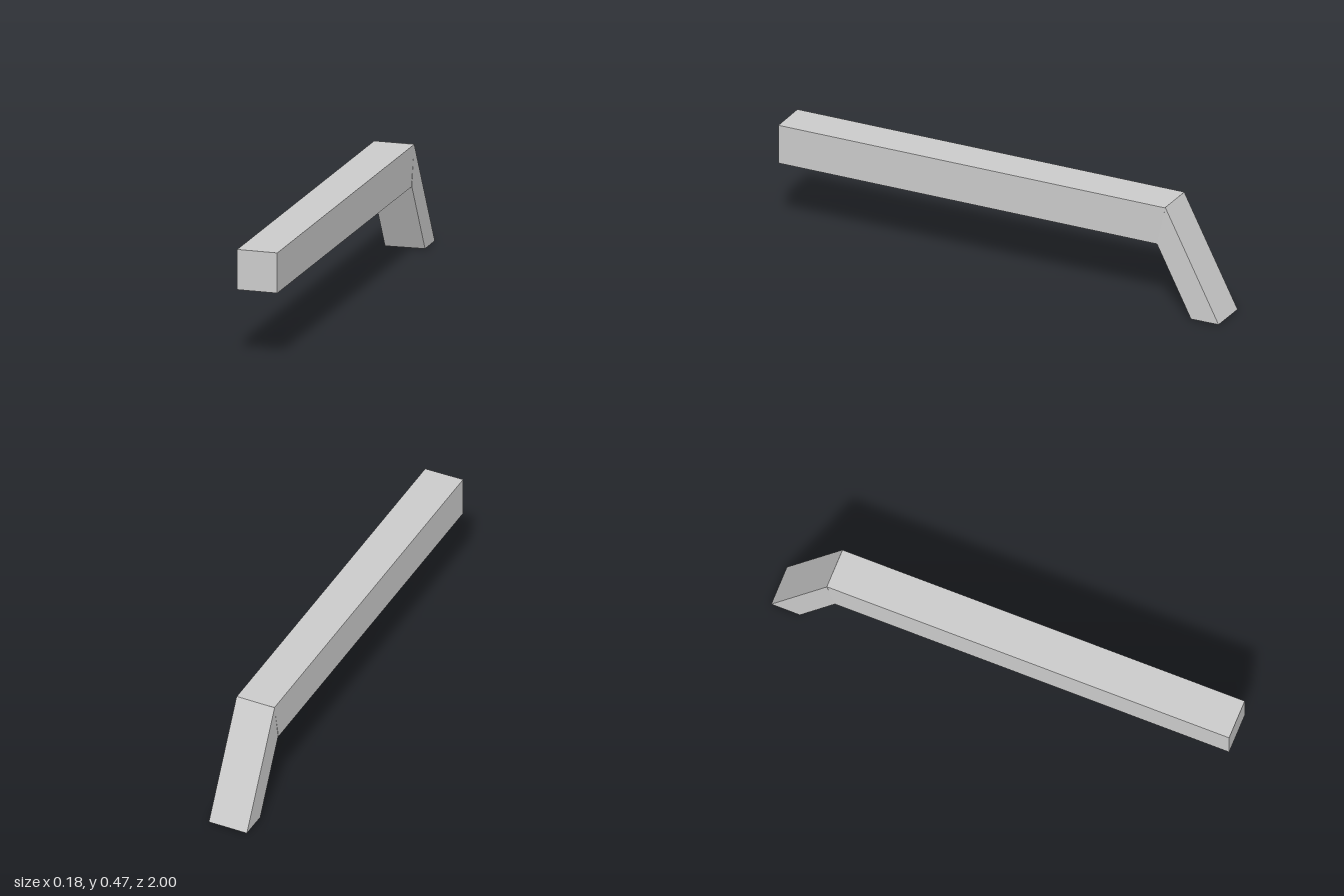
import * as THREE from 'three';

const WIDTH = 0.171;

// Solid bar from a side profile of [z, y] corners, extruded across x and centred.
function bar(name, profile, material) {
  const shape = new THREE.Shape(profile.map(([z, y]) => new THREE.Vector2(z, y)));
  const geometry = new THREE.ExtrudeGeometry(shape, { depth: WIDTH, bevelEnabled: false });
  geometry.translate(0, 0, -WIDTH / 2);
  geometry.rotateY(-Math.PI / 2);
  const mesh = new THREE.Mesh(geometry, material);
  mesh.name = name;
  return mesh;
}

export function createModel() {
  const model = new THREE.Group();
  model.name = 'bentBar';
  const material = new THREE.MeshStandardMaterial({ color: 0xcccccc, flatShading: true });

  // Long level beam, mitred at the back
  const beam = bar('beam', [[1, 0.305], [1, 0.474], [-0.755, 0.474], [-0.718, 0.305]], material);
  beam.position.x = -0.003;

  // Short sloping leg running down to the ground
  const leg = bar('leg', [[-0.718, 0.305], [-0.755, 0.474], [-1, 0.004], [-0.875, 0.003]], material);

  // The leg leans very slightly sideways, and its foot tilts with it
  const p = leg.geometry.attributes.position;
  for (let i = 0; i < p.count; i++) {
    const x = p.getX(i), y = p.getY(i);
    p.setX(i, x + 0.003 - 0.0135 * y);
    p.setY(i, y + 0.017 * x + 0.0005);
  }
  leg.geometry.computeVertexNormals();

  model.add(beam, leg);
  return model;
}
